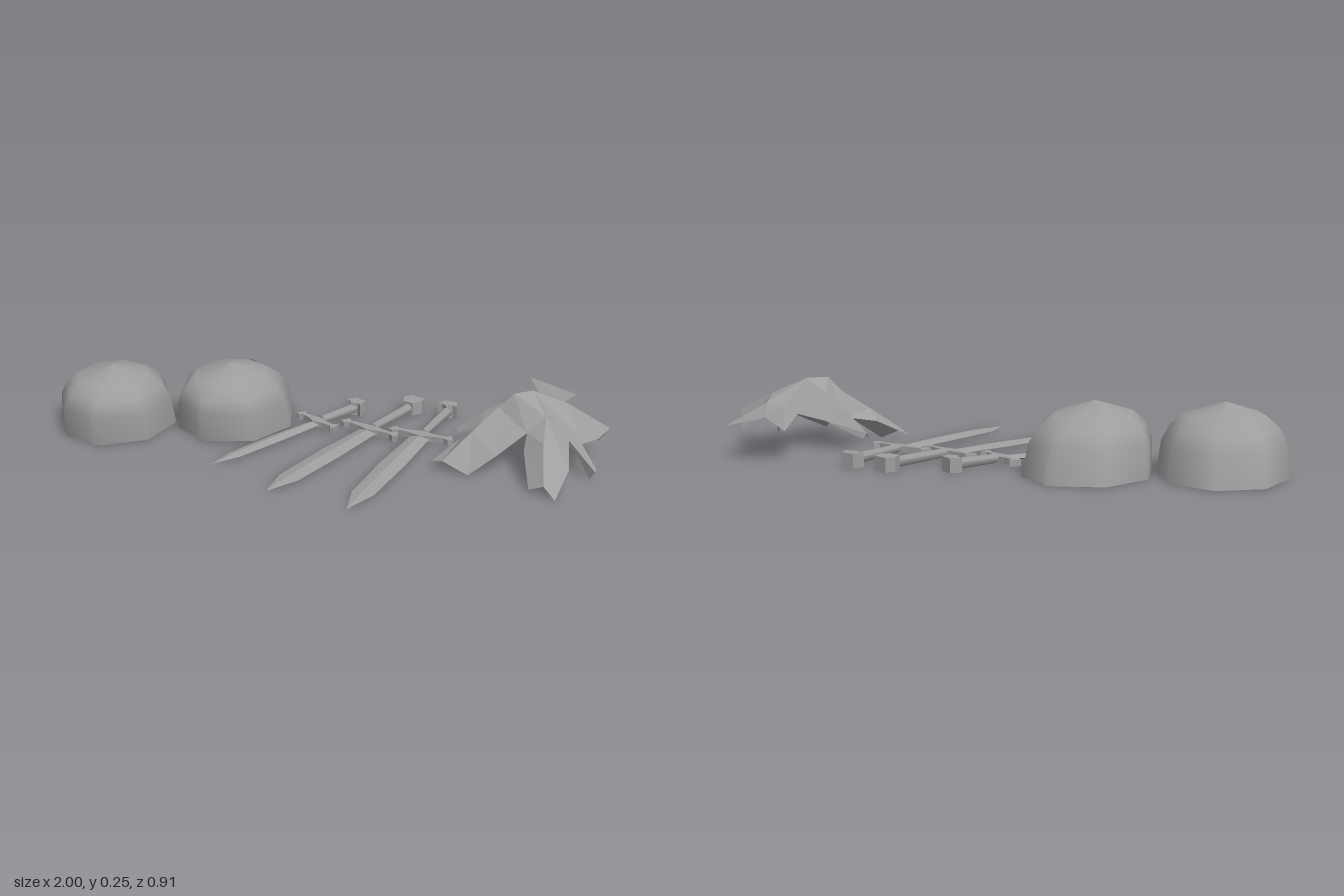
import * as THREE from 'three';

const grey = new THREE.MeshStandardMaterial({ color: 0x9e9e9e, side: THREE.DoubleSide });
grey.name = 'grey';

function part(name, geometry, parent) {
  const mesh = new THREE.Mesh(geometry, grey);
  mesh.name = name;
  parent.add(mesh);
  return mesh;
}

// Faceted skin stretched over rows of points; closed joins each row into a ring
function loft(rows, closed) {
  const pos = [];
  const n = rows[0].length;
  for (let i = 0; i < rows.length - 1; i++) {
    for (let j = 0; j < (closed ? n : n - 1); j++) {
      const k = (j + 1) % n;
      const a = rows[i][j], b = rows[i][k], c = rows[i + 1][j], d = rows[i + 1][k];
      pos.push(...a, ...b, ...c, ...b, ...d, ...c);
    }
  }
  const g = new THREE.BufferGeometry();
  g.setAttribute('position', new THREE.Float32BufferAttribute(pos, 3));
  g.computeVertexNormals();
  return g;
}

// Flat plate lying on y, drawn as [x, z] and mirrored across x = 0
function plate(half, y, height) {
  const mirrored = half.map(([x, z]) => [-x, z]).reverse();
  const shape = new THREE.Shape([...half, ...mirrored].map(([x, z]) => new THREE.Vector2(x, -z)));
  const g = new THREE.ExtrudeGeometry(shape, { depth: height, bevelEnabled: false });
  g.rotateX(-Math.PI / 2);
  g.translate(0, y, 0);
  return g;
}

// Eight-sided hollow dome with loose door flaps, leaning towards its front
function dome(name, x, z, turn, flaps) {
  const group = new THREE.Group();
  group.name = name;
  const profile = [[1, 0.005], [0.95, 0.11], [0.83, 0.16], [0.62, 0.2], [0.001, 0.24]]
    .map(([r, y]) => new THREE.Vector2(r, y));
  const lean = new THREE.Matrix4().set(
    0.217, 0, 0, 0,
    0, 1, 0, 0,
    0, 0.2, 0.243, 0,
    0, 0, 0, 1,
  );
  part('domeShell', new THREE.LatheGeometry(profile, 8).applyMatrix4(lean), group);
  for (const angle of flaps) {
    part('doorFlap', new THREE.LatheGeometry(profile.slice(0, 4), 1, angle - 0.15, 0.15).applyMatrix4(lean), group);
  }
  group.position.set(x, 0, z);
  group.rotation.y = turn;
  return group;
}

// Sword lying flat: guard at the origin, blade towards +z
function sword(name, { pommel, tip, grip, width, span, hexEnd }) {
  const group = new THREE.Group();
  group.name = name;
  const dx = tip[0] - pommel[0], dz = tip[1] - pommel[1];
  const total = Math.hypot(dx, dz);
  const length = total - grip;

  const w = width / 2;
  const section = (z, half, low, high) => {
    const mid = (low + high) / 2;
    return [[-half, mid, z], [0, high, z], [half, mid, z], [0, low, z]];
  };
  part('blade', loft([
    section(0, w * 0.8, 0.014, 0.034),
    section(length * 0.4, w, 0.01, 0.029),
    section(length * 0.8, w * 0.9, 0.006, 0.02),
    section(length, 0.001, 0.009, 0.011),
  ], true), group);

  const s = span / 2;
  part('guard', plate([
    [0, -0.02], [s * 0.35, -0.012], [s * 0.72, -0.008], [s * 0.85, -0.024],
    [s, 0.012], [s * 0.86, 0.018], [s * 0.7, 0.008], [s * 0.35, 0.012], [0, 0.024],
  ], 0.014, 0.022), group);

  const handle = part('handle', new THREE.CylinderGeometry(0.02, 0.016, grip - 0.04, 6), group);
  handle.rotation.x = -Math.PI / 2;
  handle.position.set(0, 0.028, -grip / 2);

  const end = hexEnd
    ? [[0, -grip], [0.028, -grip], [0.04, -grip + 0.03], [0.022, -grip + 0.065], [0, -grip + 0.065]]
    : [[0, -grip], [0.025, -grip], [0.038, -grip + 0.04], [0.02, -grip + 0.035], [0, -grip + 0.05]];
  part('pommel', plate(end, 0.005, 0.05), group);

  group.rotation.y = Math.atan2(dx, dz);
  group.position.set(pommel[0] + dx * grip / total, 0, pommel[1] + dz * grip / total);
  return group;
}

// Drooping folded leaves, each row running edge, fold, edge
function leafClump() {
  const group = new THREE.Group();
  group.name = 'leafClump';
  // Two crown points and the notches shared by neighbouring leaves
  const west = [0.67, 0.25, -0.055], east = [0.73, 0.25, -0.1];
  const backNotch = [0.835, 0.172, -0.21], rightNotch = [0.91, 0.08, -0.065];
  const frontRightNotch = [0.865, 0.11, -0.02], frontLeftNotch = [0.725, 0.14, 0.02];
  const leftNotch = [0.585, 0.11, -0.085], backLeftNotch = [0.73, 0.13, -0.18];
  const leaves = {
    backLeaf: [
      [east, east, east],
      [backLeftNotch, [0.77, 0.16, -0.21], backNotch],
      [[0.66, 0.11, -0.4], [0.70, 0.163, -0.457], [0.875, 0.12, -0.425]],
    ],
    rightLeaf: [
      [east, east, east],
      [backNotch, [0.85, 0.195, -0.145], rightNotch],
      [[0.965, 0.055, -0.17], [1.0, 0.125, -0.12], [0.965, 0.095, -0.09]],
    ],
    frontRightLeaf: [
      [east, east, east],
      [rightNotch, [0.885, 0.13, -0.04], frontRightNotch],
      [[0.965, 0.045, 0.06], [0.96, 0.04, 0.068], [0.945, 0.005, 0.055]],
    ],
    frontLeaf: [
      [east, east, west],
      [frontRightNotch, [0.785, 0.19, -0.01], frontLeftNotch],
      [[0.875, 0.06, 0.12], [0.785, 0.13, 0.08], [0.72, 0.09, 0.06]],
      [[0.84, 0.005, 0.245], [0.80, 0.04, 0.22], [0.75, 0.015, 0.2]],
    ],
    frontLeftLeaf: [
      [west, west, west],
      [frontLeftNotch, [0.62, 0.2, -0.045], leftNotch],
      [[0.63, 0.07, 0.075], [0.54, 0.13, 0.02], [0.5, 0.09, -0.01]],
      [[0.54, 0.005, 0.11], [0.45, 0.045, 0.1], [0.41, 0.03, 0.07]],
    ],
    backLeftLeaf: [
      [west, west, east],
      [leftNotch, [0.65, 0.2, -0.115], backLeftNotch],
      [[0.56, 0.11, -0.1], [0.57, 0.15, -0.13], [0.63, 0.11, -0.168]],
      [[0.47, 0.05, -0.135], [0.475, 0.07, -0.145], [0.49, 0.05, -0.15]],
    ],
  };
  for (const [name, rows] of Object.entries(leaves)) part(name, loft(rows, false), group);
  return group;
}

export function createModel() {
  const model = new THREE.Group();
  model.name = 'campProps';
  model.add(
    dome('leftmostDome', -0.785, -0.105, 0.09, [0]),
    dome('innerDome', -0.36, -0.215, -0.18, [0, Math.PI]),
    sword('shortSword', { pommel: [0.08, -0.37], tip: [-0.33, 0.21], grip: 0.22, width: 0.06, span: 0.2 }),
    sword('broadSword', { pommel: [0.285, -0.44], tip: [-0.095, 0.38], grip: 0.31, width: 0.088, span: 0.25, hexEnd: true }),
    sword('longSword', { pommel: [0.415, -0.42], tip: [0.19, 0.455], grip: 0.285, width: 0.088, span: 0.25 }),
    leafClump(),
  );
  return model;
}
